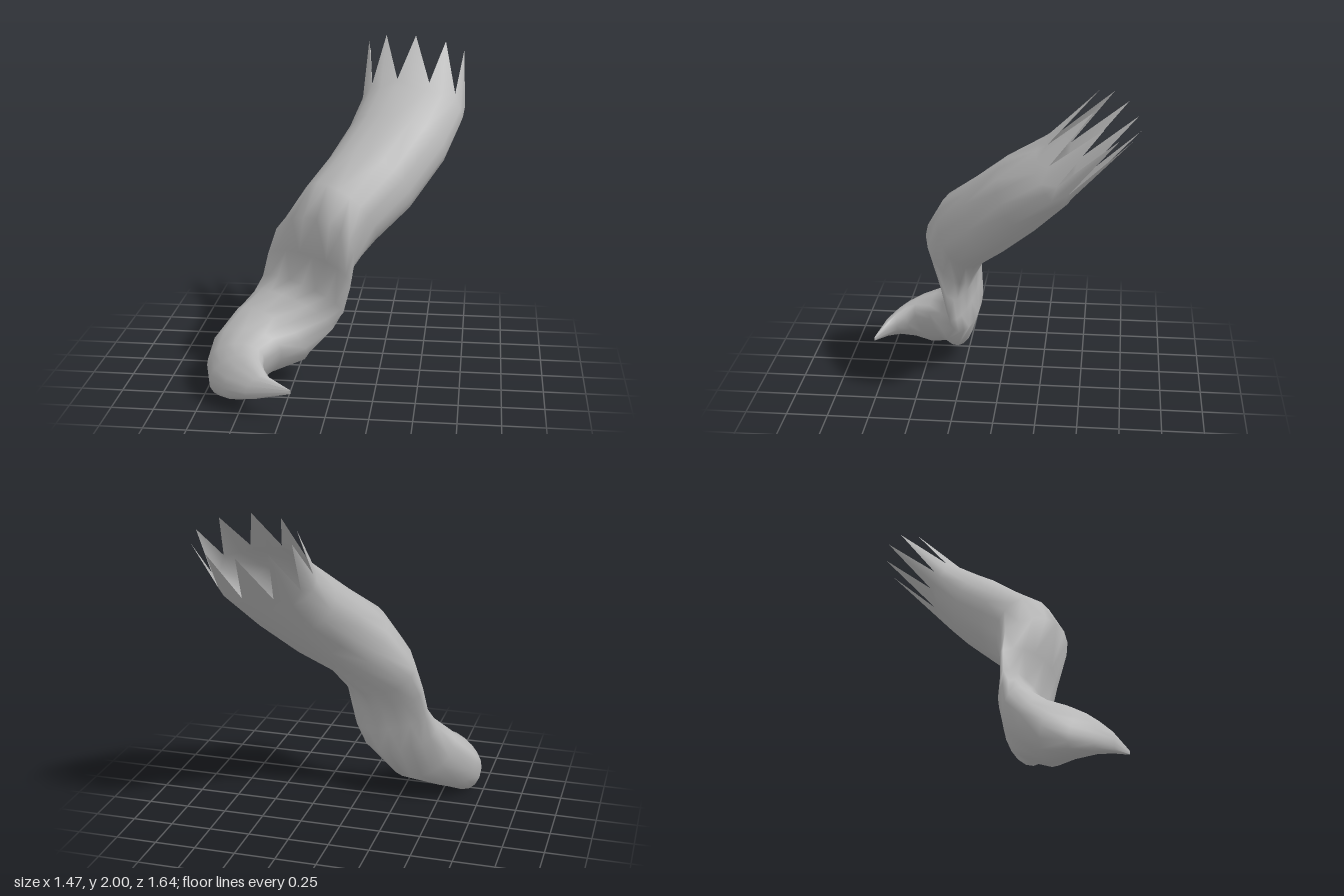
import * as THREE from 'three';

const SIDES = 20;

// Cross-sections from the curled tip upwards:
// [left/outer point], [right/inner point], [offset to the front ridge], depth of the back relative to it
const hook = [
  [[-0.19, 0.18, 0.83], [-0.185, 0.185, 0.83], [0, 0.012, 0], 1],
  [[-0.45, 0.15, 0.795], [-0.31, 0.21, 0.755], [0, 0.06, 0], 1.1],
  [[-0.6, 0.13, 0.71], [-0.35, 0.23, 0.71], [0.01, 0.1, 0], 1],
  [[-0.7, 0.13, 0.6], [-0.37, 0.25, 0.65], [0.01, 0.12, 0.02], 1.25],
  [[-0.74, 0.17, 0.46], [-0.37, 0.27, 0.59], [0, 0.13, 0.03], 1.65],
  [[-0.72, 0.26, 0.34], [-0.29, 0.29, 0.48], [-0.01, 0.13, 0.04], 1.6],
  [[-0.6, 0.39, 0.23], [-0.16, 0.27, 0.38], [-0.04, 0.15, 0.06], 1.2],
];
const trunk = [
  [[-0.5, 0.54, 0.19], [-0.01, 0.36, 0.29], [0.02, 0.1, 0.085], 0.9],
  [[-0.44, 0.65, 0.18], [0.04, 0.45, 0.29], [0.09, 0.06, 0.08], 0.7],
  [[-0.41, 0.79, 0.17], [0.07, 0.6, 0.28], [0.13, 0.11, 0.14], 0.4],
  [[-0.36, 0.94, 0.17], [0.1, 0.73, 0.27], [0.12, 0.22, 0.22], 0.4],
  [[-0.19, 1.15, 0.12], [0.25, 0.96, 0.28], [0, 0.18, 0.14], 0.95],
  [[-0.07, 1.29, -0.03], [0.44, 1.13, 0.13], [0, 0.19, 0.11], 1],
  [[0.03, 1.44, -0.22], [0.63, 1.37, -0.08], [0, 0.19, 0.11], 1],
  [[0.09, 1.59, -0.38], [0.72, 1.54, -0.31], [0, 0.165, 0.095], 0.95],
  [[0.1, 1.64, -0.42], [0.73, 1.59, -0.37], [0, 0.15, 0.09], 0.9],
];

function sectionPoint([left, right, ridge, back], angle) {
  const l = new THREE.Vector3(...left);
  const r = new THREE.Vector3(...right);
  const s = Math.sin(angle);
  return l.clone().add(r).multiplyScalar(0.5)
    .addScaledVector(r.sub(l), Math.cos(angle) / 2)
    .addScaledVector(new THREE.Vector3(...ridge), s > 0 ? s : s * back);
}

// Skin lofted through the sections, with every second rim vertex drawn out into a spike
function loft(sections) {
  const positions = [];
  const index = [];
  sections.forEach((section, j) => {
    const rim = j === sections.length - 1;
    for (let i = 0; i < SIDES; i++) {
      const angle = (i / SIDES) * Math.PI * 2;
      const p = sectionPoint(section, angle);
      if (rim && i % 2 === 1) {
        const length = 0.285 - 0.05 * Math.sin(angle);
        p.y += length;
        p.z -= length;
      }
      positions.push(p.x, p.y, p.z);
      if (j > 0) {
        const n = (i + 1) % SIDES;
        const a = (j - 1) * SIDES + i, b = (j - 1) * SIDES + n;
        const c = j * SIDES + i, d = j * SIDES + n;
        // diagonals alternate so that the spikes stay symmetrical
        if (i % 2 === 0) index.push(a, c, b, b, c, d);
        else index.push(a, c, d, a, d, b);
      }
    }
  });
  const geometry = new THREE.BufferGeometry();
  geometry.setAttribute('position', new THREE.Float32BufferAttribute(positions, 3));
  geometry.setIndex(index);
  geometry.computeVertexNormals();
  return geometry;
}

export function createModel() {
  const group = new THREE.Group();
  group.name = 'curledTail';

  const grey = new THREE.MeshStandardMaterial({ color: 0xb8b8b8, side: THREE.DoubleSide });
  grey.name = 'grey';

  // One continuous hollow skin: hooked tip, twisted trunk and ragged open end
  const tail = new THREE.Mesh(loft([...hook, ...trunk]), grey);
  tail.name = 'tail';
  group.add(tail);
  return group;
}
